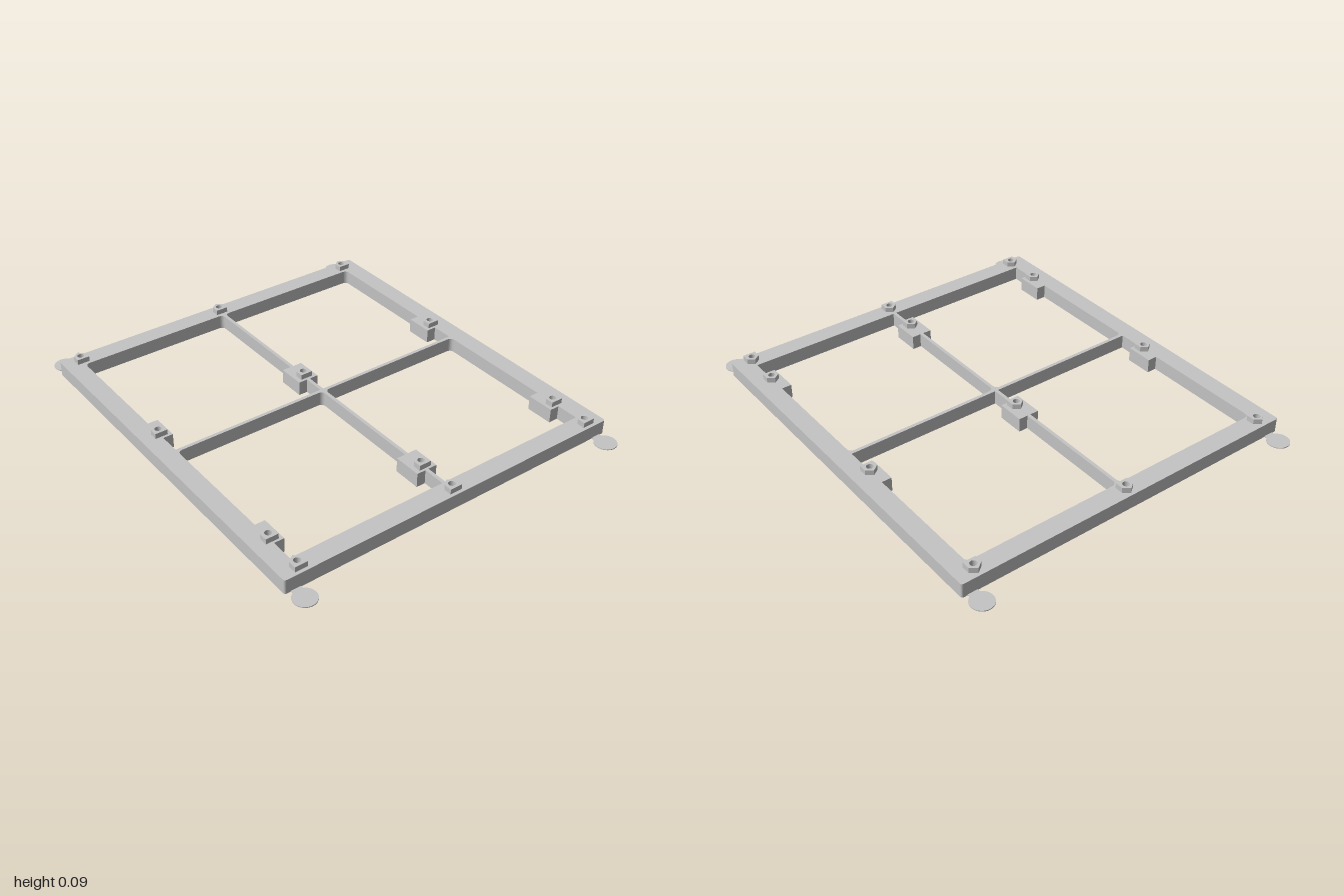
import * as THREE from 'three';

const PEG_X = [-0.743, 0, 0.743];
const PEG_Z = [-0.848, -0.148, 0.665, 0.851];

// Circular hole at plan position (x, z)
function hole(x, z, r) {
  const p = new THREE.Path();
  p.absarc(x, -z, r, 0, Math.PI * 2, true);
  return p;
}

// Extrude a plan shape (shape y = -z) upward from y0 to y1
function slab(shape, y0, y1) {
  const g = new THREE.ExtrudeGeometry(shape, { depth: y1 - y0, bevelEnabled: false, curveSegments: 12 });
  return g.rotateX(-Math.PI / 2).translate(0, y0, 0);
}

// One window of the frame: filleted back corners, notched around the pads
function opening(side, zBack, zFront, padBack, padFront) {
  const out = 0.743, inn = 0.008, r = 0.025;
  const p = new THREE.Path();
  const line = (x, z) => p.lineTo(side * x, -z);
  p.moveTo(side * inn, -zFront);
  line(inn, padFront); line(0.05, padFront); line(0.05, padBack); line(inn, padBack);
  line(inn, zBack + r);
  p.quadraticCurveTo(side * inn, -zBack, side * (inn + r), -zBack);
  line(out - r, zBack);
  p.quadraticCurveTo(side * out, -zBack, side * out, -zBack - r);
  line(out, padBack); line(0.697, padBack); line(0.697, padFront); line(out, padFront);
  line(out, zFront);
  p.closePath();
  return p;
}

// Frame plan: outer rectangle with small corner rounds, four windows and screw holes
function framePlan(holeRadius) {
  const w = 0.829, d = 0.893, r = 0.012;
  const s = new THREE.Shape();
  s.moveTo(-w + r, -d);
  s.lineTo(w - r, -d);
  s.quadraticCurveTo(w, -d, w, -d + r);
  s.lineTo(w, d - r);
  s.quadraticCurveTo(w, d, w - r, d);
  s.lineTo(-w + r, d);
  s.quadraticCurveTo(-w, d, -w, d - r);
  s.lineTo(-w, -d + r);
  s.quadraticCurveTo(-w, -d, -w + r, -d);
  for (const side of [-1, 1]) {
    s.holes.push(opening(side, -0.805, -0.008, -0.235, -0.108));
    s.holes.push(opening(side, 0.008, 0.805, 0.575, 0.703));
  }
  for (const x of PEG_X) for (const z of PEG_Z) s.holes.push(hole(x, z, holeRadius));
  return s;
}

export function createModel() {
  const model = new THREE.Group();
  model.name = 'mountingFrame';
  const grey = new THREE.MeshStandardMaterial({ color: 0xc4c4c4 });
  grey.name = 'light grey';
  const add = (name, geometry) => {
    const m = new THREE.Mesh(geometry, grey);
    m.name = name;
    model.add(m);
    return m;
  };

  // Frame with wider screw recesses in its underside
  add('frameBase', slab(framePlan(0.025), 0, 0.03));
  add('frameTop', slab(framePlan(0.015), 0.03, 0.066));

  // Pointed locating pegs, each pierced by its screw hole
  const plan = new THREE.Shape();
  plan.moveTo(-0.029, -0.027);
  plan.lineTo(0.029, -0.027);
  plan.lineTo(0.029, 0.01);
  plan.lineTo(0, 0.032);
  plan.lineTo(-0.029, 0.01);
  plan.closePath();
  plan.holes.push(hole(0, 0, 0.015));
  const pegGeometry = slab(plan, 0.066, 0.09);
  for (const x of PEG_X) for (const z of PEG_Z) add('peg', pegGeometry).position.set(x, 0, z);

  // Thin corner discs joined to the frame by short tabs
  const disc = new THREE.CylinderGeometry(0.05, 0.05, 0.004, 32);
  const tab = new THREE.BoxGeometry(0.045, 0.0038, 0.04);
  for (const x of [-0.78, 0.78]) for (const s of [-1, 1]) {
    add('cornerDisc', disc).position.set(x, 0.002, s * 0.95);
    add('cornerTab', tab).position.set(x, 0.002, s * 0.9);
  }
  return model;
}
